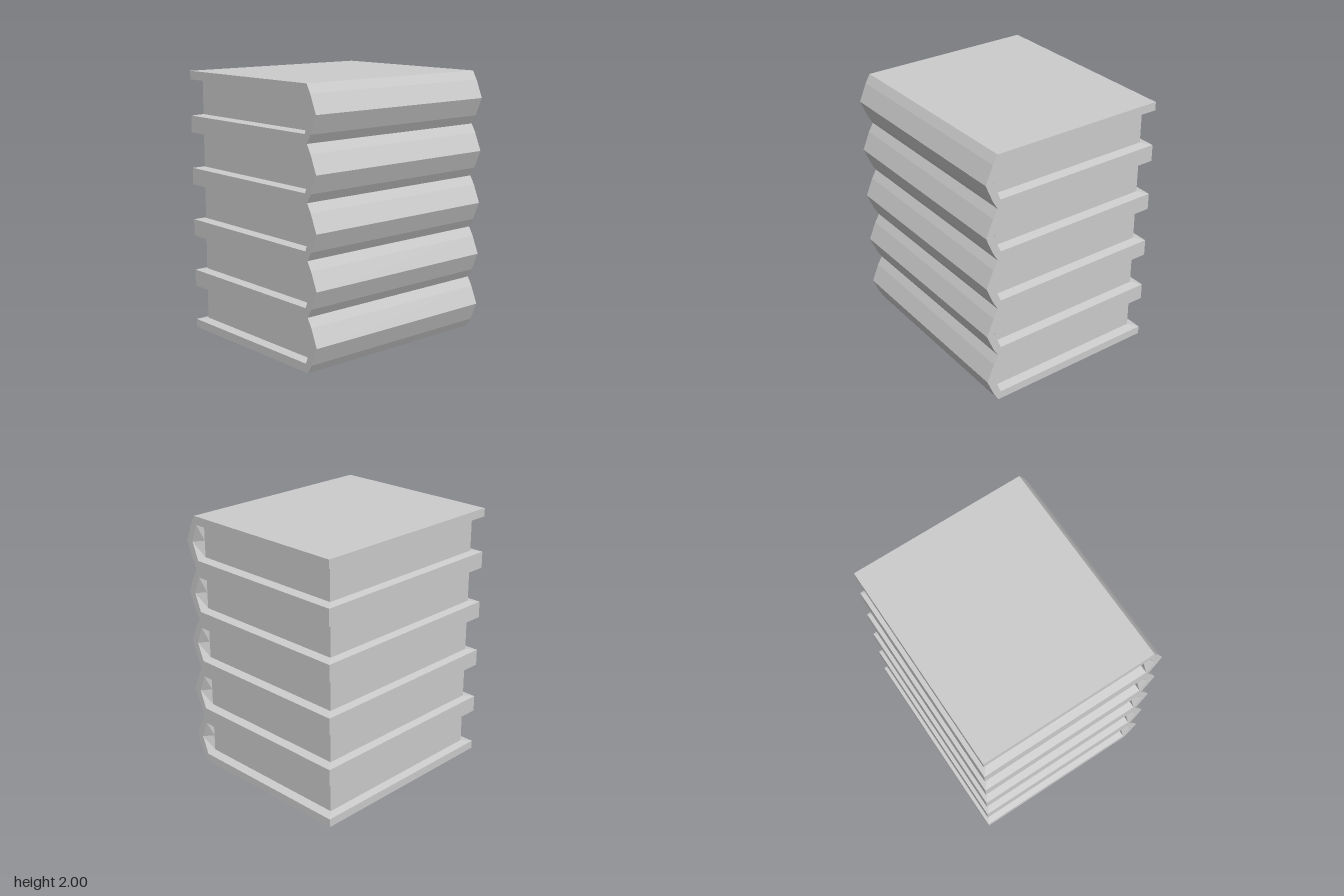
import * as THREE from 'three';

const COUNT = 5, THICK = 0.4, HALF_W = 0.81, PAGE_HALF_W = 0.74;
const material = new THREE.MeshStandardMaterial({ color: 0xcccccc, flatShading: true });

// Cover: one C-shaped section (z, y) with a pointed spine, drawn out along x
function coverGeometry() {
  const section = new THREE.Shape([
    [-0.73, 0], [0.637, 0], [0.675, 0.065], [0.732, 0.2], [0.675, 0.335], [0.637, 0.4], [-0.73, 0.4],
    [-0.73, 0.336], [0.615, 0.336], [0.67, 0.2], [0.615, 0.064], [-0.73, 0.064],
  ].map(([z, y]) => new THREE.Vector2(z, y)));
  const geometry = new THREE.ExtrudeGeometry(section, { depth: 2 * HALF_W, bevelEnabled: false });
  return geometry.translate(0, 0, -HALF_W).rotateY(-Math.PI / 2);
}

// Lining: slopes from the cover's inner rim to the edges of the page block
function liningGeometry() {
  const rim = [[-0.73, 0.064], [0.615, 0.064], [0.67, 0.2], [0.615, 0.336], [-0.73, 0.336]];
  const page = [[-0.67, 0.075], [0.615, 0.075], [0.615, 0.2], [0.615, 0.325], [-0.67, 0.325]];
  const positions = [];
  const quad = (a, b, c, d) => positions.push(...a, ...b, ...c, ...a, ...c, ...d);
  const R = (i, s) => [s * HALF_W, rim[i][1], rim[i][0]];
  const P = (i, s) => [s * PAGE_HALF_W, page[i][1], page[i][0]];
  for (let i = 0; i < 4; i++) {
    quad(R(i + 1, 1), R(i, 1), P(i, 1), P(i + 1, 1));
    quad(R(i, -1), R(i + 1, -1), P(i + 1, -1), P(i, -1));
  }
  // back slopes on the lower and upper boards
  quad(R(0, 1), R(0, -1), P(0, -1), P(0, 1));
  quad(R(4, -1), R(4, 1), P(4, 1), P(4, -1));
  const geometry = new THREE.BufferGeometry();
  geometry.setAttribute('position', new THREE.Float32BufferAttribute(positions, 3));
  geometry.computeVertexNormals();
  return geometry;
}

export function createModel() {
  const stack = new THREE.Group();
  stack.name = 'bookStack';
  const parts = {
    cover: coverGeometry(),
    coverLining: liningGeometry(),
    pages: new THREE.BoxGeometry(2 * PAGE_HALF_W, 0.25, 1.285).translate(0, 0.2, -0.0275),
  };
  for (let i = 0; i < COUNT; i++) {
    const book = new THREE.Group();
    book.name = `book${i + 1}`;
    book.position.y = i * THICK;
    for (const [name, geometry] of Object.entries(parts)) {
      const mesh = new THREE.Mesh(geometry, material);
      mesh.name = name;
      book.add(mesh);
    }
    stack.add(book);
  }
  return stack;
}
